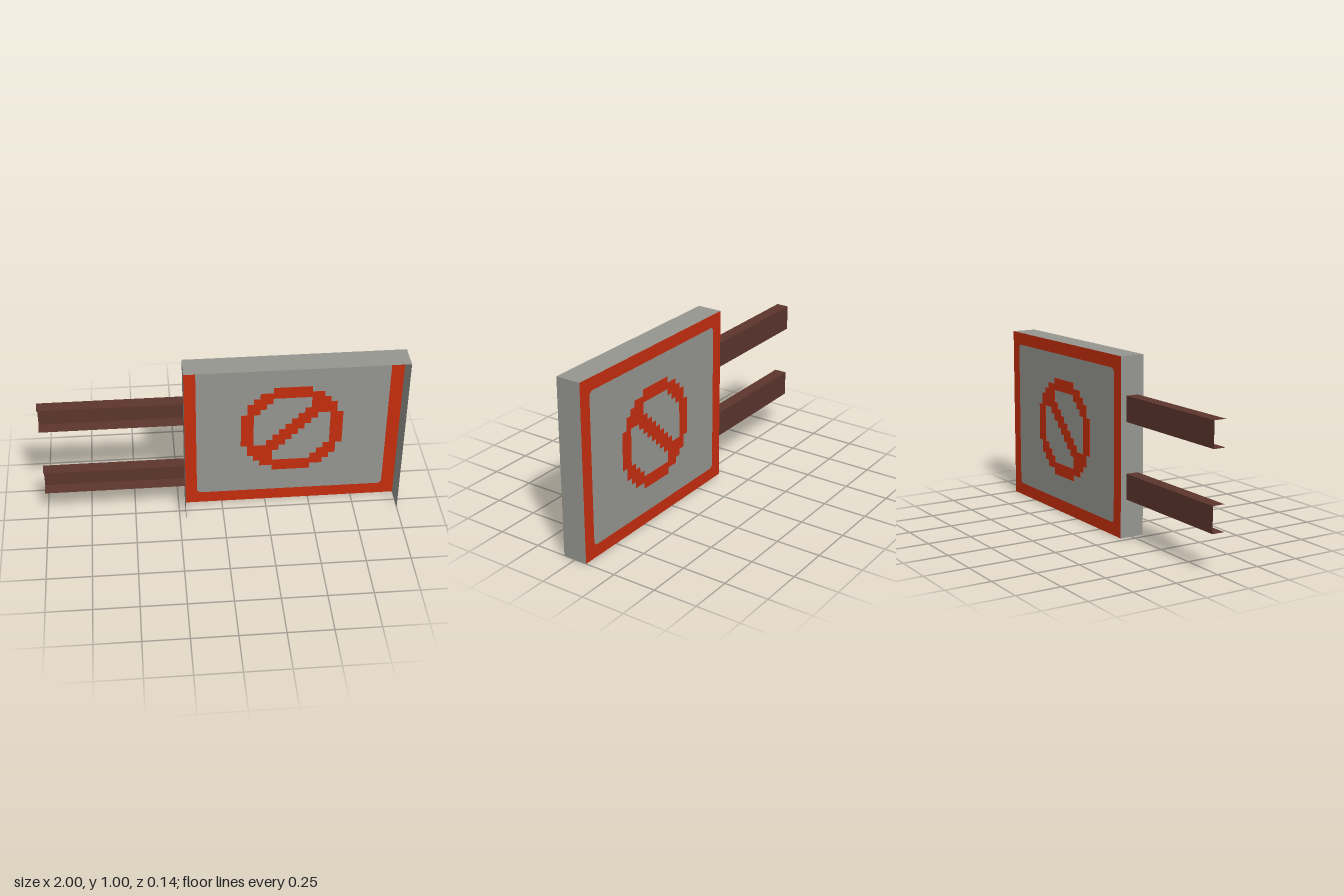
import * as THREE from 'three';
import { mergeGeometries } from 'three/addons/utils/BufferGeometryUtils.js';

const U = 1 / 14; // base module
const mat = (name, color) => {
  const m = new THREE.MeshStandardMaterial({ color, side: THREE.DoubleSide });
  m.name = name;
  return m;
};

export function createModel() {
  const grey = mat('panelGrey', 0x959690);
  const red = mat('signRed', 0xc52d0e);
  const brown = mat('railBrown', 0x5c352d);
  const model = new THREE.Group();
  model.name = 'barrierSign';

  const add = (name, geometry, material, parent = model) => {
    const mesh = new THREE.Mesh(geometry, material);
    mesh.name = name;
    parent.add(mesh);
    return mesh;
  };
  // Thin sheets: lying flat (y normal), facing sideways (x normal), upright (z normal)
  const flat = (w, d, x, y, z) => new THREE.PlaneGeometry(w, d).rotateX(-Math.PI / 2).translate(x, y, z);
  const side = (d, h, x, y, z) => new THREE.PlaneGeometry(d, h).rotateY(Math.PI / 2).translate(x, y, z);
  const upright = (w, h, x, y, z) => new THREE.PlaneGeometry(w, h).translate(x, y, z);

  const left = -3 * U, right = 1, cx = (left + right) / 2, backZ = -U;

  // Open hood: top and two side walls
  add('hoodTop', flat(right - left, 2 * U, cx, 1, 0), grey);
  add('hoodRightWall', side(2 * U, 1, left, 0.5, 0), grey);
  add('hoodLeftWall', side(2 * U, 1, right, 0.5, 0), grey);

  // Sign face with chamfered inner corners
  const x0 = left + U, x1 = right - U, y0 = U, y1 = 1 - U, c = 0.016;
  const inner = [[x0 + c, y0], [x1 - c, y0], [x1, y0 + c], [x1, y1 - c],
    [x1 - c, y1], [x0 + c, y1], [x0, y1 - c], [x0, y0 + c]].map(p => new THREE.Vector2(...p));
  const border = new THREE.Shape([[left, 0], [right, 0], [right, 1], [left, 1]].map(p => new THREE.Vector2(...p)));
  border.holes.push(new THREE.Path(inner));
  add('signBorder', new THREE.ShapeGeometry(border).translate(0, 0, backZ), red);
  add('signFace', new THREE.ShapeGeometry(new THREE.Shape(inner)).translate(0, 0, backZ), grey);

  // Stepped prohibition ring and slash, on a 16 x 16 grid, showing on both sides
  const cell = U / 2, runs = [];
  const filled = (i, j) => {
    const dx = Math.abs(i - 7.5), dy = Math.abs(j - 7.5);
    if (dx > Math.round(Math.sqrt(64 - dy * dy))) return false;
    const hole = dy < 6 && dx < Math.ceil(Math.sqrt(36 - dy * dy));
    return !hole || Math.abs(i - j) <= 1;
  };
  for (let j = 0; j < 16; j++) {
    for (let i = 0; i < 16; i++) {
      if (!filled(i, j)) continue;
      const start = i;
      while (i < 16 && filled(i, j)) i++;
      runs.push(new THREE.BoxGeometry((i - start) * cell, cell, 0.004)
        .translate(cx + ((start + i) / 2 - 8) * cell, 0.5 + (j - 7.5) * cell, backZ));
    }
  }
  add('prohibitionSymbol', mergeGeometries(runs), red);

  // Two channel rails, open to the front
  const length = left + 1, rx = (left - 1) / 2;
  for (const [name, y] of [['lowerRail', 4 * U], ['upperRail', 10 * U]]) {
    const rail = new THREE.Group();
    rail.name = name;
    model.add(rail);
    add('railWeb', upright(length, 2 * U, rx, y, -U / 2), brown, rail);
    for (const s of [-1, 1]) add('railFlange', flat(length, U, rx, y + s * U, 0), brown, rail);
  }
  return model;
}
